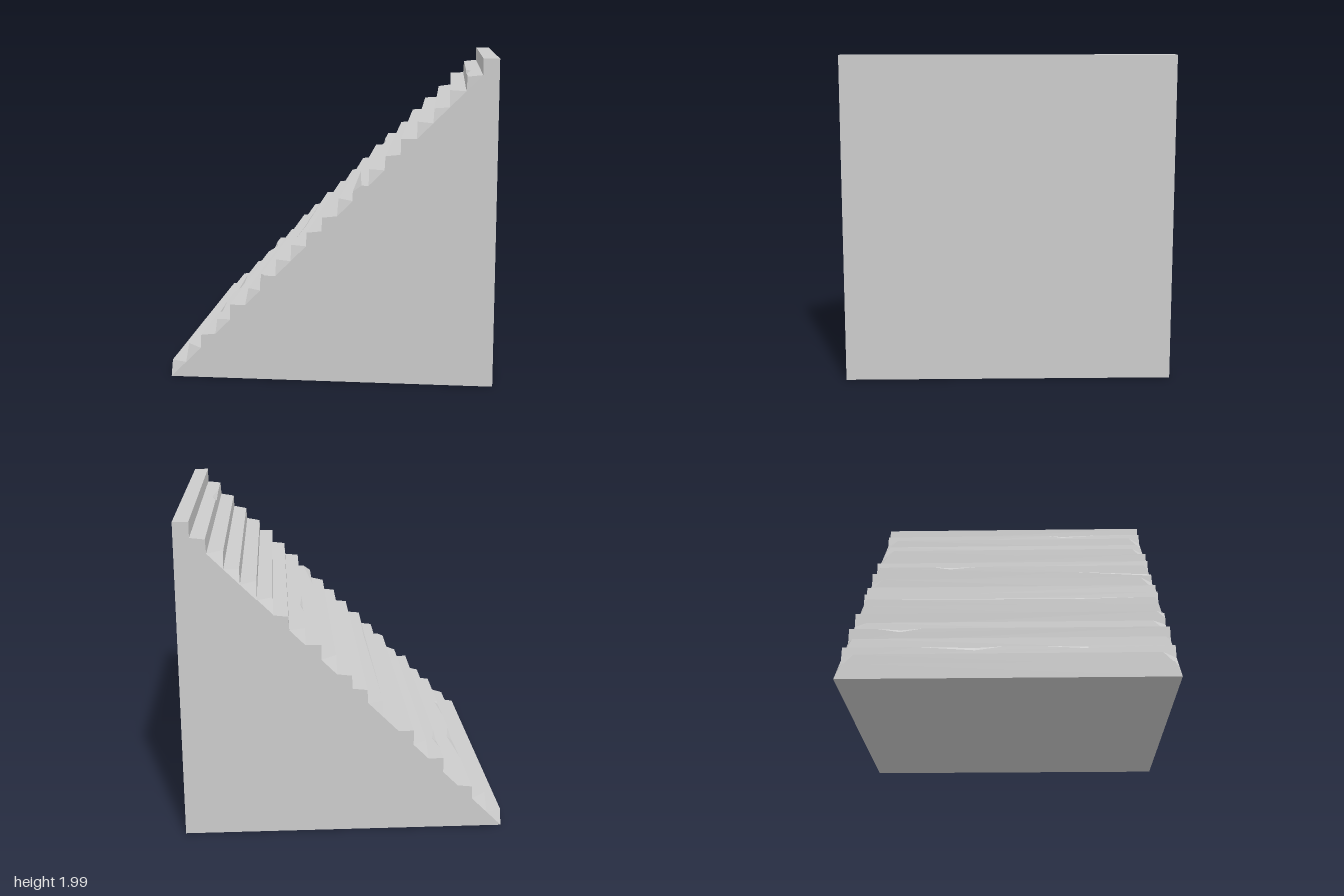
import * as THREE from 'three';

const STEPS = 21, RUN = 2 / STEPS, RISE = 1.99 / STEPS;

// Steps whose front edge is slightly worn down
const WORN = [2, 3, 5, 9, 10, 14, 17, 19];

// Corners broken off at both ends of a step: [step, depth along the edge]
const CORNERS = [[0, 0.04], [1, 0.09], [3, 0.04], [5, 0.09], [7, 0.04], [8, 0.035],
  [11, 0.09], [13, 0.04], [16, 0.09], [17, 0.04], [18, 0.09]];

// Nicks: [step, start z, deepest z, end z, share of tread, share of riser]; null = runs off the end
const NICKS = [
  [2, -0.55, -0.2, -0.02, 0.38, 0.3], [2, 0.2, 0.48, 0.5, 0.25, 0.2],
  [4, -0.83, -0.68, -0.54, 0.28, 0.25], [6, 0.95, 1, null, 0.33, 0.5],
  [8, -0.9, 0.4, 0.88, 0.12, 0.12], [12, 0.43, 1, null, 0.55, 0.38],
  [13, -0.58, -0.45, -0.24, 0.18, 0.2], [15, null, -1, -0.94, 0.95, 0.95],
  [19, 0.27, 0.39, 0.68, 0.32, 0.25],
];
for (const [i, d] of CORNERS) {
  NICKS.push([i, 1 - d, 1, null, 1, 1], [i, null, -1, -1 + d, 1, 1]);
}

// Collects flat polygons, each turned to face a given direction
class Faces {
  constructor() { this.data = []; }

  add(points, axes, facing) {
    const pts = points.filter((p, k) =>
      p.distanceTo(points[(k + 1) % points.length]) > 1e-6);
    const flat = pts.map((p) => new THREE.Vector2(p[axes[0]], p[axes[1]]));
    for (const tri of THREE.ShapeUtils.triangulateShape(flat, [])) {
      this.triangle(...tri.map((k) => pts[k]), facing);
    }
  }

  triangle(a, b, c, facing) {
    const n = b.clone().sub(a).cross(c.clone().sub(a));
    const order = n.dot(facing) < 0 ? [a, c, b] : [a, b, c];
    order.forEach((p) => this.data.push(p.x, p.y, p.z));
  }

  mesh(name, material) {
    const geo = new THREE.BufferGeometry();
    geo.setAttribute('position', new THREE.Float32BufferAttribute(this.data, 3));
    geo.computeVertexNormals();
    const mesh = new THREE.Mesh(geo, material);
    mesh.name = name;
    return mesh;
  }
}

const V = (x, y, z) => new THREE.Vector3(x, y, z);
const UP = V(0, 1, 0), LEFTWARD = V(-1, 0, 0), OUTWARD = V(-1, 1, 0);

export function createModel() {
  const group = new THREE.Group();
  group.name = 'staircase';
  const material = new THREE.MeshStandardMaterial({ color: 0xcccccc, flatShading: true });
  const treads = new Faces(), risers = new Faces(), chips = new Faces(), body = new Faces();
  const outline = { '-1': [], 1: [] };

  for (let i = 0; i < STEPS; i++) {
    const x0 = -1 + i * RUN, x1 = x0 + RUN, y0 = i * RISE, y1 = y0 + RISE;
    const worn = WORN.includes(i) ? 0.01 : 0;
    const nose = (z) => V(x0 + worn * 0.5, y1 - worn, z);
    const foot = (z) => V(x0, y0, z);
    const back = (z) => V(x1, y1, z);
    const cuts = NICKS.filter((n) => n[0] === i).sort((a, b) => a[2] - b[2]);

    // Front edge as seen by the tread and by the riser, with nicks between
    const treadEdge = [], riserEdge = [];
    const both = (p) => { treadEdge.push(p); riserEdge.push(p); };
    if (!cuts.some((c) => c[1] === null)) both(nose(-1));
    for (const [, start, mid, end, u, v] of cuts) {
      const p = nose(mid).lerp(back(mid), u), q = nose(mid).lerp(foot(mid), v);
      if (start !== null) {
        both(nose(start));
        chips.triangle(nose(start), p, q, OUTWARD);
      }
      treadEdge.push(p);
      riserEdge.push(q);
      if (end !== null) {
        both(nose(end));
        chips.triangle(nose(end), p, q, OUTWARD);
      }
    }
    if (!cuts.some((c) => c[3] === null)) both(nose(1));

    treads.add([...treadEdge, back(1), back(-1)], ['x', 'z'], UP);
    risers.add([...riserEdge, foot(1), foot(-1)], ['z', 'y'], LEFTWARD);

    // Stepped outline of the two side walls
    outline[-1].push(foot(-1), riserEdge[0], treadEdge[0], back(-1));
    outline[1].push(foot(1), riserEdge.at(-1), treadEdge.at(-1), back(1));
  }

  // Solid body: side walls, tall end wall and underside
  for (const z of [-1, 1]) body.add([...outline[z], V(1, 0, z)], ['x', 'y'], V(0, 0, z));
  const top = STEPS * RISE;
  body.add([V(1, 0, -1), V(1, 0, 1), V(1, top, 1), V(1, top, -1)], ['z', 'y'], V(1, 0, 0));
  body.add([V(-1, 0, -1), V(1, 0, -1), V(1, 0, 1), V(-1, 0, 1)], ['x', 'z'], V(0, -1, 0));

  group.add(treads.mesh('treads', material), risers.mesh('risers', material),
    chips.mesh('chippedEdges', material), body.mesh('body', material));
  return group;
}
